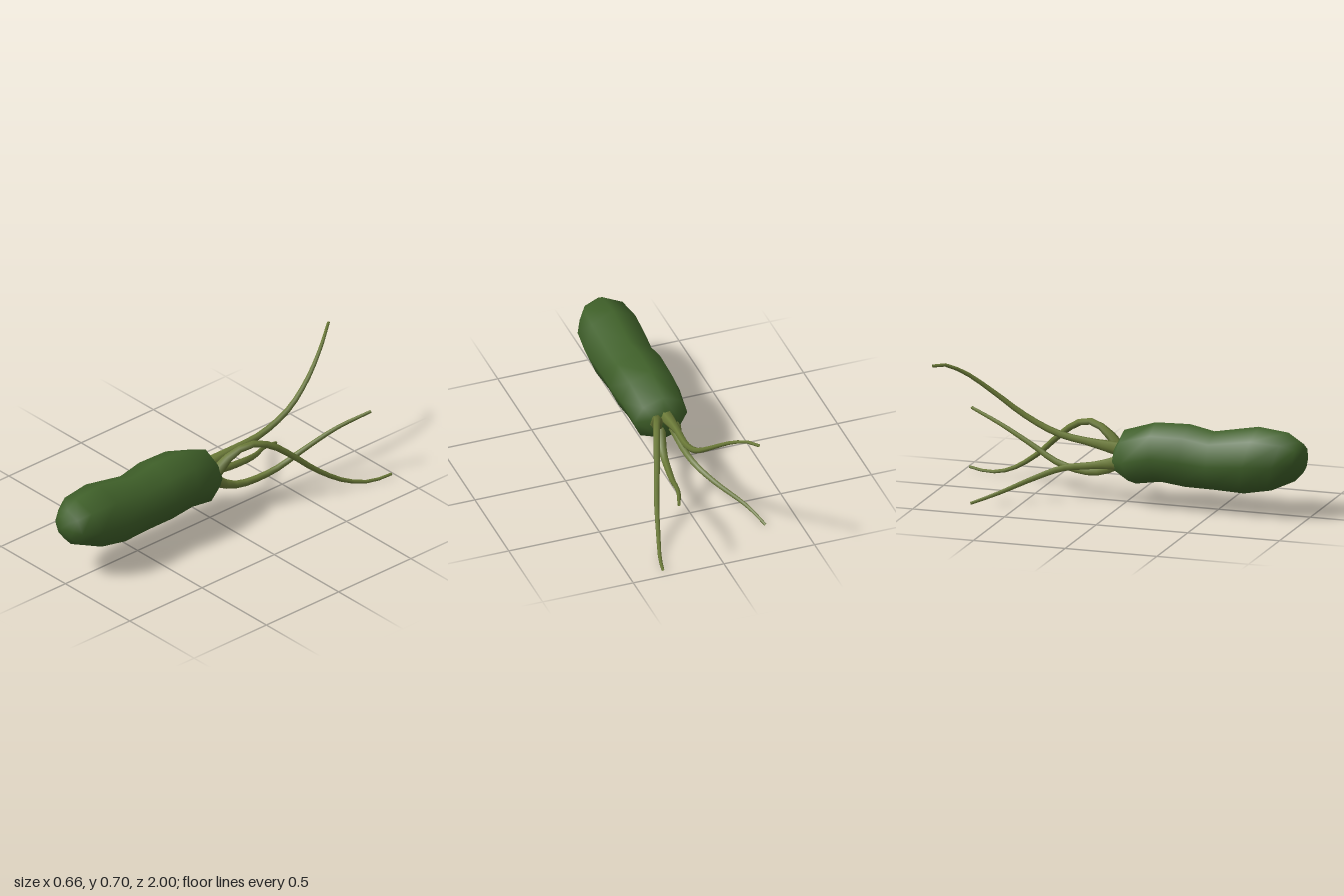
import * as THREE from 'three';

const SIDES = 8, AXIS_X = -0.035;

// Cross-sections, nose to tail: top z, top y, bottom z, bottom y, half width
const RINGS = [
  [0.98, 0.385, 0.975, 0.25, 0.066],
  [0.955, 0.412, 0.93, 0.2, 0.105],
  [0.893, 0.456, 0.8, 0.139, 0.152],
  [0.732, 0.474, 0.65, 0.11, 0.171],
  [0.49, 0.429, 0.49, 0.116, 0.156],
  [0.357, 0.456, 0.33, 0.118, 0.167],
  [0.169, 0.45, 0.196, 0.134, 0.162],
  [-0.003, 0.395, 0.06, 0.113, 0.147],
  [-0.04, 0.32, -0.04, 0.172, 0.088],
];

// Centre lines of the tails, root to tip
const TAILS = {
  upperTail: [[-0.045, 0.29, 0], [-0.042, 0.315, -0.18], [-0.025, 0.343, -0.37], [-0.016, 0.424, -0.555],
    [-0.04, 0.536, -0.71], [-0.095, 0.643, -0.85], [-0.155, 0.693, -0.945], [-0.196, 0.692, -0.995]],
  lowerRightTail: [[-0.09, 0.235, 0], [-0.075, 0.2, -0.17], [-0.09, 0.177, -0.32], [-0.153, 0.13, -0.45],
    [-0.27, 0.059, -0.62], [-0.323, 0.011, -0.745]],
  archedTail: [[0, 0.23, 0], [0.04, 0.355, -0.12], [0.08, 0.392, -0.22], [0.113, 0.368, -0.31],
    [0.153, 0.284, -0.42], [0.205, 0.16, -0.555], [0.255, 0.054, -0.715], [0.297, 0.016, -0.85], [0.325, 0.025, -0.968]],
  middleLeftTail: [[-0.01, 0.24, 0], [0.01, 0.165, -0.11], [0.023, 0.138, -0.2], [0.06, 0.16, -0.39],
    [0.102, 0.236, -0.555], [0.153, 0.316, -0.74], [0.218, 0.373, -0.92]],
};

// Closed lofted skin with a single vertex at each end
function bodyGeometry() {
  const pos = [AXIS_X, 0.32, 0.998];
  for (const [tz, ty, bz, by, w] of RINGS) {
    for (let j = 0; j < SIDES; j++) {
      const a = (j / SIDES) * Math.PI * 2, t = (1 + Math.cos(a)) / 2;
      pos.push(AXIS_X + Math.sin(a) * w, by + (ty - by) * t, bz + (tz - bz) * t);
    }
  }
  pos.push(AXIS_X, 0.245, -0.05);

  const last = RINGS.length - 1, end = RINGS.length * SIDES + 1;
  const id = (i, j) => 1 + i * SIDES + (j % SIDES);
  const index = [];
  for (let j = 0; j < SIDES; j++) {
    index.push(0, id(0, j + 1), id(0, j));
    for (let i = 0; i < last; i++) {
      const a = id(i, j), b = id(i, j + 1), c = id(i + 1, j), d = id(i + 1, j + 1);
      index.push(a, b, c, b, d, c);
    }
    index.push(end, id(last, j), id(last, j + 1));
  }
  const g = new THREE.BufferGeometry();
  g.setAttribute('position', new THREE.Float32BufferAttribute(pos, 3));
  g.setIndex(index);
  g.computeVertexNormals();
  return g;
}

// Tube that flares at the root and thins toward the tip
function tailGeometry(points) {
  const curve = new THREE.CatmullRomCurve3(points.map((p) => new THREE.Vector3(...p)));
  const segments = 16, radial = 6;
  const g = new THREE.TubeGeometry(curve, segments, 1, radial);
  const pos = g.attributes.position, v = new THREE.Vector3();
  for (let i = 0; i <= segments; i++) {
    const t = i / segments, c = curve.getPointAt(t);
    const r = 0.023 - 0.015 * t + 0.018 * Math.max(0, 1 - t * 6);
    for (let j = 0; j <= radial; j++) {
      const k = i * (radial + 1) + j;
      v.fromBufferAttribute(pos, k).sub(c).multiplyScalar(r).add(c);
      pos.setXYZ(k, v.x, v.y, v.z);
    }
  }
  return g;
}

export function createModel() {
  const model = new THREE.Group();
  model.name = 'microbe';

  const body = new THREE.Mesh(bodyGeometry(), new THREE.MeshStandardMaterial({ color: 0x3f6029 }));
  body.name = 'body';
  model.add(body);

  const tailMaterial = new THREE.MeshStandardMaterial({ color: 0x6b7a38, side: THREE.DoubleSide });
  for (const [name, points] of Object.entries(TAILS)) {
    const tail = new THREE.Mesh(tailGeometry(points), tailMaterial);
    tail.name = name;
    model.add(tail);
  }
  return model;
}
